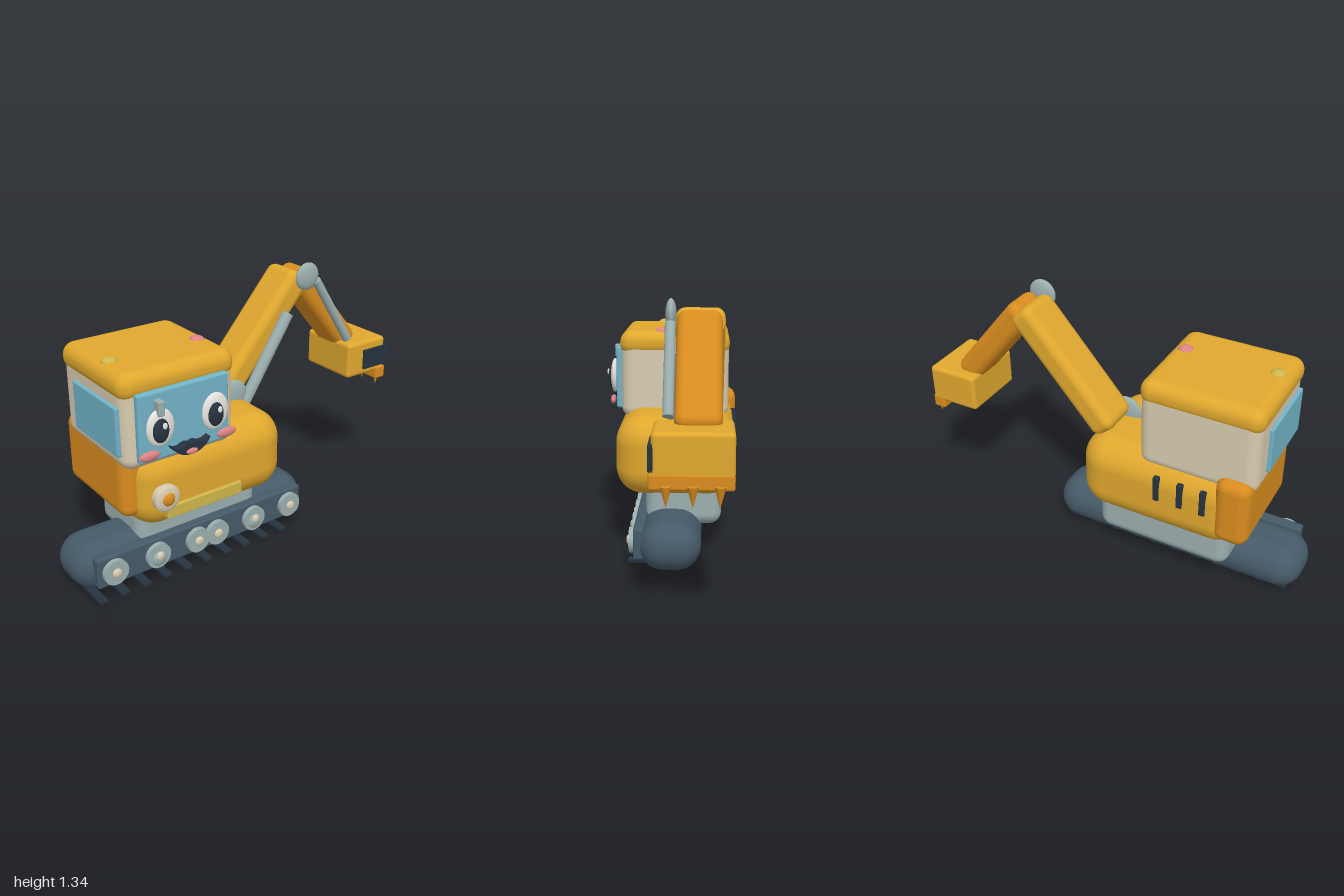
import * as THREE from 'three';
import { RoundedBoxGeometry } from 'three/addons/geometries/RoundedBoxGeometry.js';

export function createModel() {
  const model = new THREE.Group();
  model.name = 'excavator';

  const paint = (name, color) => {
    const m = new THREE.MeshStandardMaterial({ color });
    m.name = name;
    return m;
  };
  const yellow = paint('yellow', 0xe0a82e);
  const orange = paint('orange', 0xd98c1e);
  const slate = paint('slate', 0x465a69);
  const navy = paint('navy', 0x263340);
  const steel = paint('steel', 0x9caeae);
  const beige = paint('beige', 0xd8ccb0);
  const glass = paint('glass', 0x72b4c8);
  const pink = paint('pink', 0xdd8484);
  const white = paint('white', 0xeae8e2);
  const gold = paint('gold', 0xcfb64c);

  const add = (name, geometry, material, x = 0, y = 0, z = 0) => {
    const mesh = new THREE.Mesh(geometry, material);
    mesh.name = name;
    mesh.position.set(x, y, z);
    model.add(mesh);
    return mesh;
  };
  // Rounded box given by its limits on each axis
  const box = (name, material, [x0, x1], [y0, y1], [z0, z1], radius, segments = 5) =>
    add(name, new RoundedBoxGeometry(x1 - x0, y1 - y0, z1 - z0, segments, radius), material,
      (x0 + x1) / 2, (y0 + y1) / 2, (z0 + z1) / 2);
  const ball = (name, material, x, y, z, rx, ry, rz) => {
    const mesh = add(name, new THREE.SphereGeometry(1, 28, 18), material, x, y, z);
    mesh.scale.set(rx, ry, rz);
    return mesh;
  };
  // Disc facing the front
  const disc = (name, material, x, y, z, radius, depth) =>
    add(name, new THREE.CylinderGeometry(radius, radius, depth, 32).rotateX(Math.PI / 2), material, x, y, z);
  // Turn a mesh whose length runs along y so it joins two points in the xy plane
  const aim = (mesh, [x0, y0], [x1, y1], z) => {
    mesh.position.set((x0 + x1) / 2, (y0 + y1) / 2, z);
    mesh.rotation.z = Math.atan2(x0 - x1, y1 - y0);
  };
  const span = (a, b) => Math.hypot(b[0] - a[0], b[1] - a[1]);
  const arm = (name, material, a, b, width, depth, z) =>
    aim(add(name, new RoundedBoxGeometry(width, span(a, b), depth, 5, 0.045), material), a, b, z);
  const rod = (name, a, b, radius, z) =>
    aim(add(name, new THREE.CylinderGeometry(radius, radius, span(a, b), 20), steel), a, b, z);

  // Track with its side panel, wheels and grousers
  box('track', slate, [-1, 0.345], [0.005, 0.245], [-0.165, 0.138], 0.12, 8);
  box('trackPanel', slate, [-0.925, 0.27], [0.06, 0.218], [0.11, 0.165], 0.012, 3);
  [-0.84, -0.61, -0.385, -0.27, -0.045, 0.185].forEach((x, i) => {
    disc('wheel', steel, x, 0.137, 0.174, 0.064, 0.03);
    if (i % 3 === 1) ball('roller', steel, x, 0.125, 0.185, 0.04, 0.04, 0.018);
    ball('wheelHub', beige, x, 0.137, 0.192, 0.024, 0.024, 0.012);
  });
  for (let i = 0; i < 10; i++) {
    const x = -0.92 + i * 0.117;
    box('grouser', navy, [x - 0.022, x + 0.022], [0, 0.022], [-0.1, 0.2], 0.006, 2);
  }

  // Chassis, body and counterweight
  box('chassis', steel, [-0.675, 0.02], [0.155, 0.42], [-0.265, 0.12], 0.06);
  box('body', yellow, [-0.74, 0.1], [0.315, 0.723], [-0.338, 0.27], 0.14, 8);
  box('counterweight', orange, [-0.79, -0.62], [0.39, 0.745], [-0.348, 0.2], 0.055);
  box('sideStrip', gold, [-0.615, -0.2], [0.39, 0.45], [0.25, 0.288], 0.004, 2);
  for (const x of [-0.57, -0.455, -0.335]) {
    box('vent', navy, [x - 0.015, x + 0.015], [0.515, 0.65], [-0.347, -0.32], 0.006, 2);
  }

  // Front lamp
  disc('lampRim', beige, -0.615, 0.5, 0.275, 0.066, 0.03);
  ball('lampRimDome', beige, -0.615, 0.5, 0.288, 0.066, 0.066, 0.016);
  ball('lampCore', orange, -0.615, 0.5, 0.298, 0.033, 0.033, 0.017);

  // Cab, roof and windows
  box('cab', beige, [-0.8, -0.215], [0.66, 1.08], [-0.3, 0.26], 0.06);
  box('roof', yellow, [-0.81, -0.21], [0.99, 1.12], [-0.304, 0.267], 0.06);
  box('windshield', glass, [-0.745, -0.275], [0.707, 1.033], [0.25, 0.29], 0.012, 3);
  box('sideWindow', glass, [-0.817, -0.79], [0.735, 0.97], [-0.17, 0.22], 0.008, 3);
  ball('roofLamp', gold, -0.74, 1.115, 0.052, 0.036, 0.02, 0.036);
  ball('roofLamp', pink, -0.285, 1.115, 0.052, 0.036, 0.02, 0.036);
  box('wiper', steel, [-0.668, -0.635], [0.93, 1.0], [0.285, 0.332], 0.006, 2);

  // Face
  const faceX = -0.505;
  for (const side of [-1, 1]) {
    const x = faceX + side * 0.143;
    ball('eye', white, x, 0.87, 0.305, 0.07, 0.09, 0.022);
    ball('pupil', navy, x - 0.008, 0.863, 0.324, 0.04, 0.057, 0.018);
    ball('eyeGlint', white, x + 0.004, 0.888, 0.34, 0.012, 0.016, 0.006);
    ball('cheek', pink, faceX + side * 0.203, 0.75, 0.308, 0.053, 0.023, 0.014);
  }
  const smile = new THREE.Shape();
  smile.moveTo(-0.1, 0.022);
  smile.quadraticCurveTo(-0.075, 0.002, -0.045, 0.01);
  smile.quadraticCurveTo(-0.02, 0.026, 0, 0.012);
  smile.quadraticCurveTo(0.02, 0.026, 0.045, 0.01);
  smile.quadraticCurveTo(0.075, 0.002, 0.1, 0.022);
  smile.quadraticCurveTo(0.07, -0.035, 0, -0.036);
  smile.quadraticCurveTo(-0.07, -0.035, -0.1, 0.022);
  add('mouth', new THREE.ExtrudeGeometry(smile, { depth: 0.04, bevelEnabled: false, curveSegments: 10 }),
    navy, faceX, 0.745, 0.29);
  ball('tongue', pink, faceX, 0.725, 0.331, 0.03, 0.014, 0.012);

  // Boom, stick and their joints and cylinders
  const base = [-0.02, 0.74], elbow = [0.44, 1.27];
  arm('boom', yellow, base, elbow, 0.14, 0.222, -0.157);
  arm('stick', orange, [0.43, 1.27], [0.795, 0.825], 0.13, 0.2, -0.154);
  ball('baseJoint', steel, -0.02, 0.735, -0.03, 0.083, 0.083, 0.025);
  ball('elbowJoint', steel, elbow[0], elbow[1], -0.027, 0.071, 0.071, 0.025);
  rod('boomCylinder', [0.04, 0.67], [0.32, 1.1], 0.03, -0.027);
  rod('stickCylinder', [0.5, 1.24], [0.735, 0.875], 0.024, -0.027);

  // Bucket with lip, teeth and side plate
  box('bucket', yellow, [0.7, 0.965], [0.665, 0.858], [-0.305, 0.033], 0.02, 3);
  box('bucketLip', orange, [0.9, 0.968], [0.62, 0.69], [-0.305, 0.045], 0.012, 3);
  box('bucketPlate', navy, [0.805, 0.982], [0.7, 0.81], [0.025, 0.045], 0.004, 2);
  for (const z of [-0.028, -0.136, -0.245]) {
    add('tooth', new THREE.ConeGeometry(0.024, 0.09, 16).rotateX(Math.PI), orange, 0.973, 0.597, z);
  }

  return model;
}
